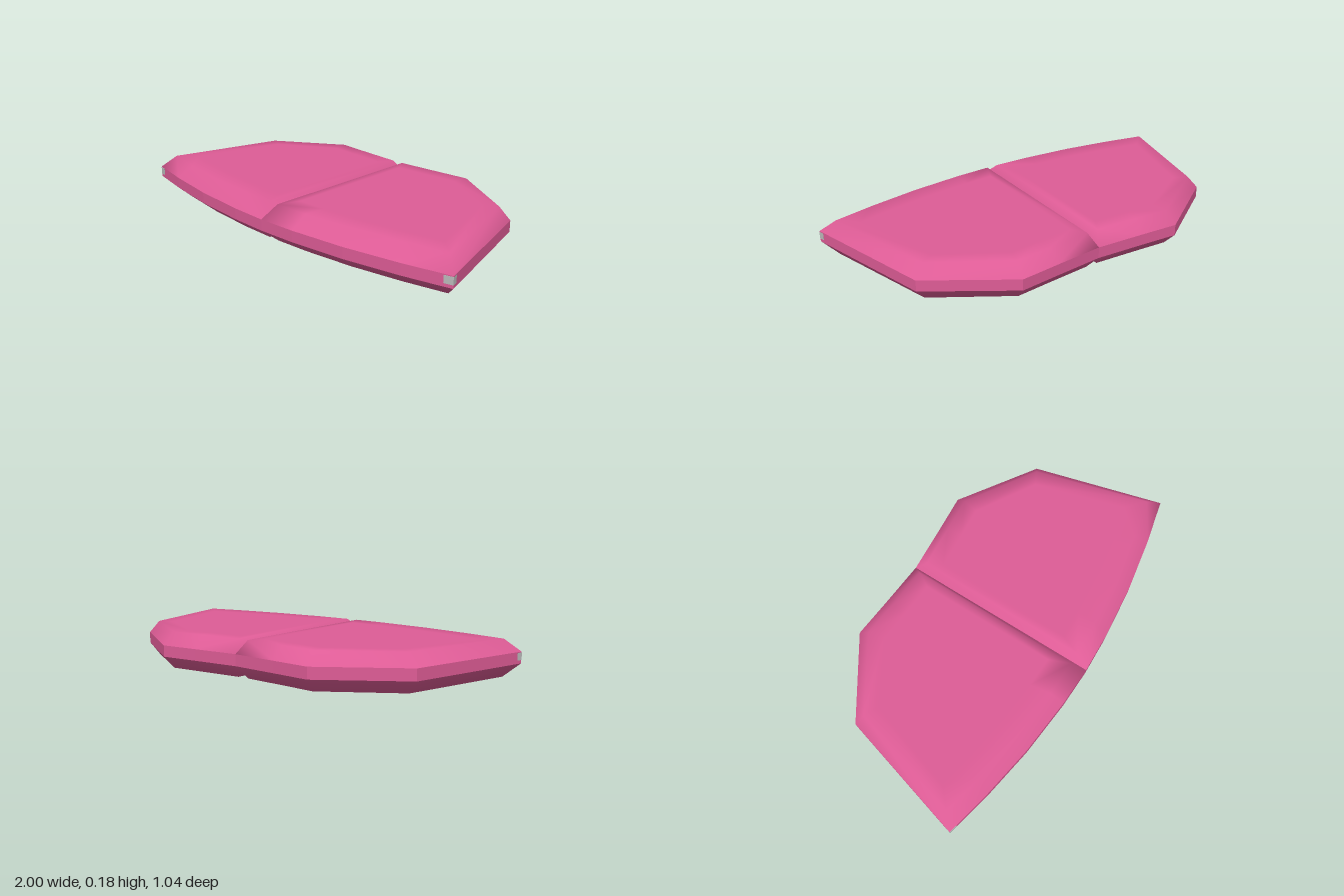
import * as THREE from 'three';
import { mergeVertices } from 'three/addons/utils/BufferGeometryUtils.js';

// Half outline (x, z), from the front of the seam round to its back
const OUTLINE = [
  [0, 0.52], [0.2, 0.513], [0.49, 0.485], [0.77, 0.437], [1, 0.385],
  [0.825, -0.272], [0.44, -0.525], [0.24, -0.508], [0, -0.49],
];
const CENTRE = [0.316, -0.075];
const RIM_LOW = 0.062, RIM_HIGH = 0.118, HEIGHT = 0.18;

// Outline drawn in toward the centre; t = 1 is the edge of the flat face
const ring = (t) => OUTLINE.map(([x, z]) => [
  x + (CENTRE[0] - x) * 0.095 * t,
  z + (CENTRE[1] - z) * 0.125 * t,
]);

function buildGeometry(triangles, flip) {
  const pos = [];
  for (const [a, b, c] of triangles) {
    for (const p of flip ? [a, c, b] : [a, b, c]) pos.push(...p);
  }
  const g = new THREE.BufferGeometry();
  g.setAttribute('position', new THREE.Float32BufferAttribute(pos, 3));
  return g;
}

// Smooth bevelled face: rim, bevel edge, inner ring, centre
function faceGeometry(side, rimY, faceY) {
  const levels = [[0, rimY], [1, faceY], [2.4, faceY]].map(([t, y]) =>
    ring(t).map(([x, z]) => [side * x, y, z]));
  const centre = [side * CENTRE[0], faceY, CENTRE[1]];
  const n = OUTLINE.length, tris = [];
  for (let i = 0; i < n; i++) {
    const j = (i + 1) % n;
    for (let k = 0; k < 2; k++) {
      const a = levels[k], b = levels[k + 1];
      tris.push([a[i], a[j], b[j]], [a[i], b[j], b[i]]);
    }
    tris.push([levels[2][i], levels[2][j], centre]);
  }
  const flip = (side < 0) !== (faceY < rimY);
  const g = mergeVertices(buildGeometry(tris, flip));
  g.computeVertexNormals();
  return g;
}

// Upright band round the outside, open along the seam
function rimGeometry(side) {
  const tris = [];
  for (let i = 0; i < OUTLINE.length - 1; i++) {
    const at = ([x, z], y) => [side * x, y, z];
    const a = at(OUTLINE[i], RIM_LOW), b = at(OUTLINE[i + 1], RIM_LOW);
    const c = at(OUTLINE[i + 1], RIM_HIGH), d = at(OUTLINE[i], RIM_HIGH);
    tris.push([a, b, c], [a, c, d]);
  }
  const g = buildGeometry(tris, side < 0);
  g.computeVertexNormals();
  return g;
}

// Small patch wrapping the front corner of the rim
function cornerGeometry(side) {
  const shape = new THREE.Shape(
    [[0.958, 0.396], [1.001, 0.3865], [0.9935, 0.357]].map(
      ([x, z]) => new THREE.Vector2(side * x, -z)));
  const g = new THREE.ExtrudeGeometry(shape, { depth: 0.036, bevelEnabled: false });
  g.rotateX(-Math.PI / 2);
  g.translate(0, 0.078, 0);
  return g;
}

export function createModel() {
  const pink = new THREE.MeshStandardMaterial({ color: 0xde5c96 });
  pink.name = 'pink';
  const grey = new THREE.MeshStandardMaterial({ color: 0xbcbcbc });
  grey.name = 'grey';

  const model = new THREE.Group();
  model.name = 'panel';
  for (const [side, label] of [[1, 'left'], [-1, 'right']]) {
    const half = new THREE.Group();
    half.name = `${label}Half`;
    const add = (geometry, material, name) => {
      const mesh = new THREE.Mesh(geometry, material);
      mesh.name = name;
      half.add(mesh);
    };
    add(faceGeometry(side, RIM_HIGH, HEIGHT), pink, 'topFace');
    add(faceGeometry(side, RIM_LOW, 0), pink, 'bottomFace');
    add(rimGeometry(side), pink, 'rim');
    add(cornerGeometry(side), grey, 'cornerPatch');
    model.add(half);
  }
  return model;
}
